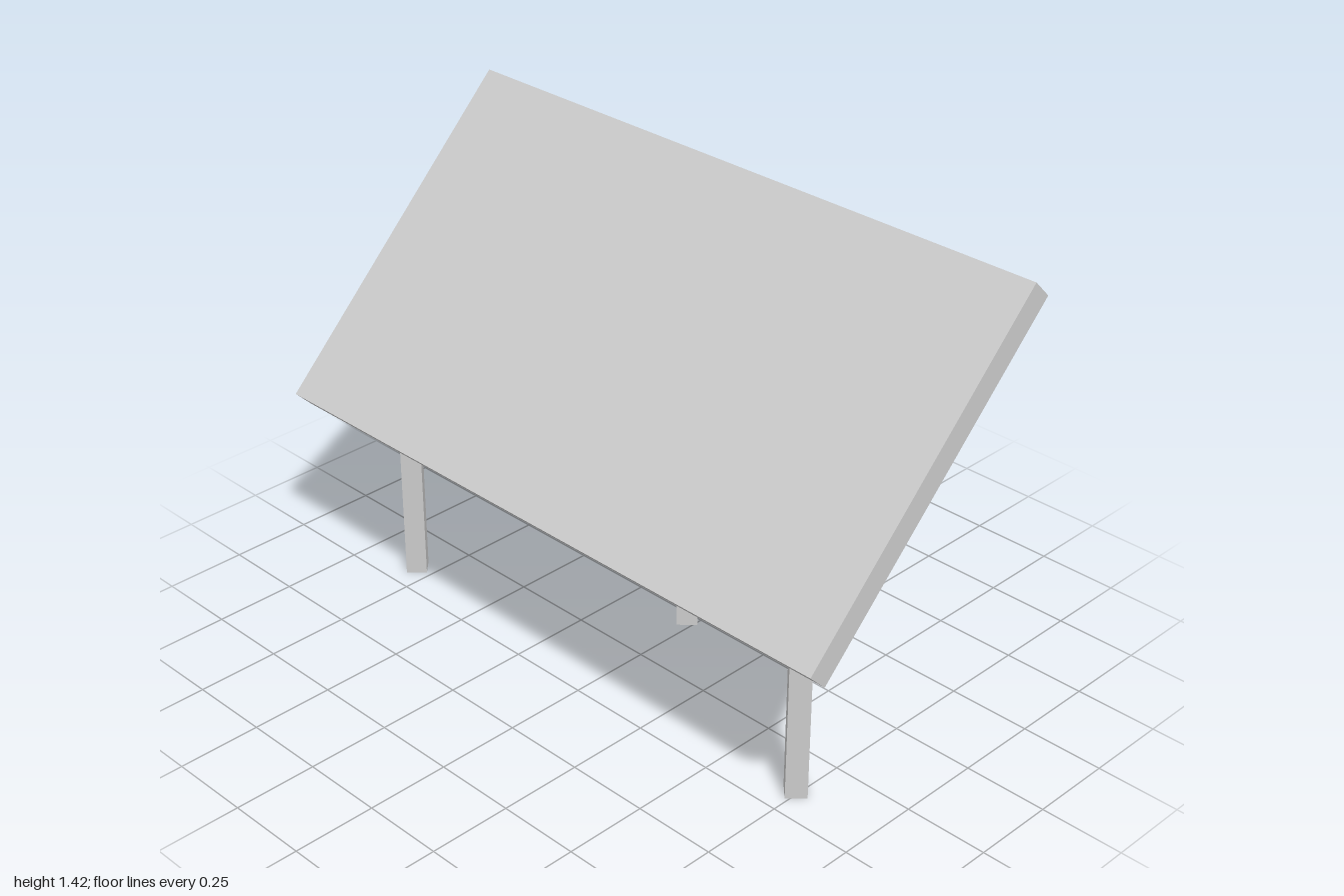
import * as THREE from 'three';

export function createModel() {
  const model = new THREE.Group();
  const material = new THREE.MeshStandardMaterial({ color: 0xcccccc, flatShading: true, side: THREE.DoubleSide });

  // Tilted panel: a thin-walled shallow tray, open on its underside
  const tray = new THREE.BoxGeometry(1.11, 0.077, 2);
  const index = Array.from(tray.index.array);
  index.splice(18, 6); // drop the underside face
  tray.setIndex(index);
  tray.clearGroups();
  const panel = new THREE.Mesh(tray, material);
  panel.name = 'panel';
  panel.rotation.z = Math.PI / 4;
  panel.position.y = 0.996;
  model.add(panel);

  // Square posts, set with their corners along the axes
  const addPost = (name, x, z, height) => {
    const post = new THREE.Mesh(new THREE.CylinderGeometry(0.043, 0.043, height, 4), material);
    post.name = name;
    post.position.set(x, height / 2, z);
    model.add(post);
  };
  addPost('frontShortPost', -0.155, 0.74, 0.84);
  addPost('backShortPost', -0.155, -0.81, 0.84);
  addPost('tallPost', 0.225, -0.034, 1.19);

  return model;
}
